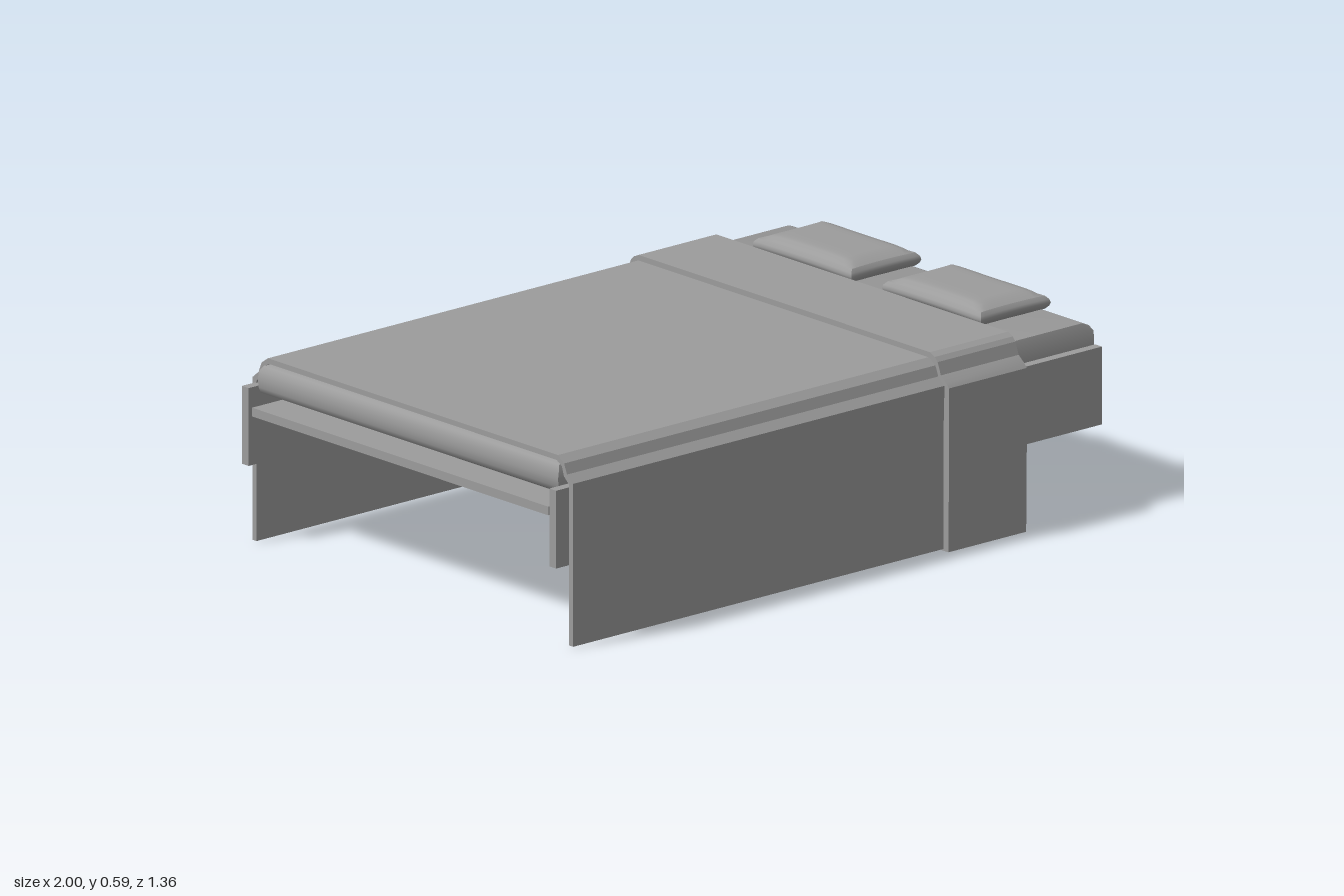
import * as THREE from 'three';
import { toCreasedNormals } from 'three/addons/utils/BufferGeometryUtils.js';

const material = new THREE.MeshStandardMaterial({ color: 0x9c9c9c });

function add(group, name, geometry, x = 0, y = 0, z = 0) {
  const mesh = new THREE.Mesh(geometry, material);
  mesh.name = name;
  mesh.position.set(x, y, z);
  group.add(mesh);
}

const flip = (half) => half.map(([a, b]) => [-a, b]);

function extrude(ring, depth) {
  const shape = new THREE.Shape(ring.map(([a, b]) => new THREE.Vector2(a, b)));
  return new THREE.ExtrudeGeometry(shape, { depth, bevelEnabled: false });
}

// Cloth draped over both sides: [z, y] half-profiles from hem to top, extruded along x
function drape(outer, inner, x0, x1) {
  const ring = [...outer, ...flip(outer).reverse(), ...flip(inner), ...[...inner].reverse()];
  const geometry = extrude(ring, x1 - x0).rotateY(Math.PI / 2).translate(x0, 0, 0);
  return toCreasedNormals(geometry, 0.3);
}

// Slab with rounded head and foot ends; its long top edges are eased inwards
function mattressGeometry(width) {
  const end = [[0.955, 0.43], [0.972, 0.438], [0.98, 0.455], [0.982, 0.478], [0.979, 0.5], [0.97, 0.515], [0.95, 0.523]];
  const geometry = extrude([...end, ...flip(end).reverse()], width).translate(0, 0, -width / 2);
  const p = geometry.attributes.position;
  for (let i = 0; i < p.count; i++) {
    const ease = Math.max(0, p.getY(i) - 0.5) * 0.6;
    p.setZ(i, p.getZ(i) - Math.sign(p.getZ(i)) * ease);
  }
  return toCreasedNormals(geometry, 0.7);
}

// Plump cushion with full sides, a flat crown and pinched-out corners
function pillowGeometry(width, depth) {
  const geometry = new THREE.BoxGeometry(2, 2, 2, 14, 4, 14);
  const p = geometry.attributes.position;
  for (let i = 0; i < p.count; i++) {
    const u = p.getX(i), t = p.getY(i), v = p.getZ(i);
    const crown = Math.sqrt(Math.max(0, (1 - u ** 6) * (1 - v ** 6)));
    const inset = 0.012 * t * t;
    p.setXYZ(i,
      u * (width / 2 * (1 - 0.05 * (1 - v * v)) - inset),
      t * (0.019 + 0.016 * crown),
      v * (depth / 2 * (1 - 0.03 * (1 - u * u)) - inset));
  }
  geometry.computeVertexNormals();
  return geometry;
}

export function createModel() {
  const bed = new THREE.Group();
  bed.name = 'bed';

  // Frame
  const rail = new THREE.BoxGeometry(2, 0.223, 0.028);
  add(bed, 'leftSideRail', rail, 0, 0.347, 0.626);
  add(bed, 'rightSideRail', rail, 0, 0.347, -0.64);
  add(bed, 'baseBoard', new THREE.BoxGeometry(1.995, 0.025, 1.22), 0, 0.392, -0.005);

  // Mattress
  add(bed, 'mattress', mattressGeometry(1.236), 0.014, 0, -0.006);

  // Blanket, and the folded band lying over it near the head
  const inner = [[0.644, 0.005], [0.644, 0.465], [0.622, 0.485], [0.614, 0.512], [0.592, 0.525]];
  const blanket = [[0.66, 0.005], [0.66, 0.472], [0.635, 0.493], [0.623, 0.522], [0.597, 0.54]];
  const underFold = [[0.645, 0], ...blanket.slice(1)];
  const fold = [[0.676, 0], [0.679, 0.3], [0.678, 0.47], [0.668, 0.482], [0.645, 0.5], [0.632, 0.535], [0.62, 0.547], [0.6, 0.556]];
  add(bed, 'blanket', drape(blanket, inner, -0.952, 0.685), 0, 0, -0.004);
  add(bed, 'blanketFold', drape(fold, underFold, 0.405, 0.69));

  // Pillows
  const pillow = pillowGeometry(0.256, 0.408);
  add(bed, 'leftPillow', pillow, 0.83, 0.556, 0.272);
  add(bed, 'rightPillow', pillow, 0.83, 0.556, -0.261);

  return bed;
}
